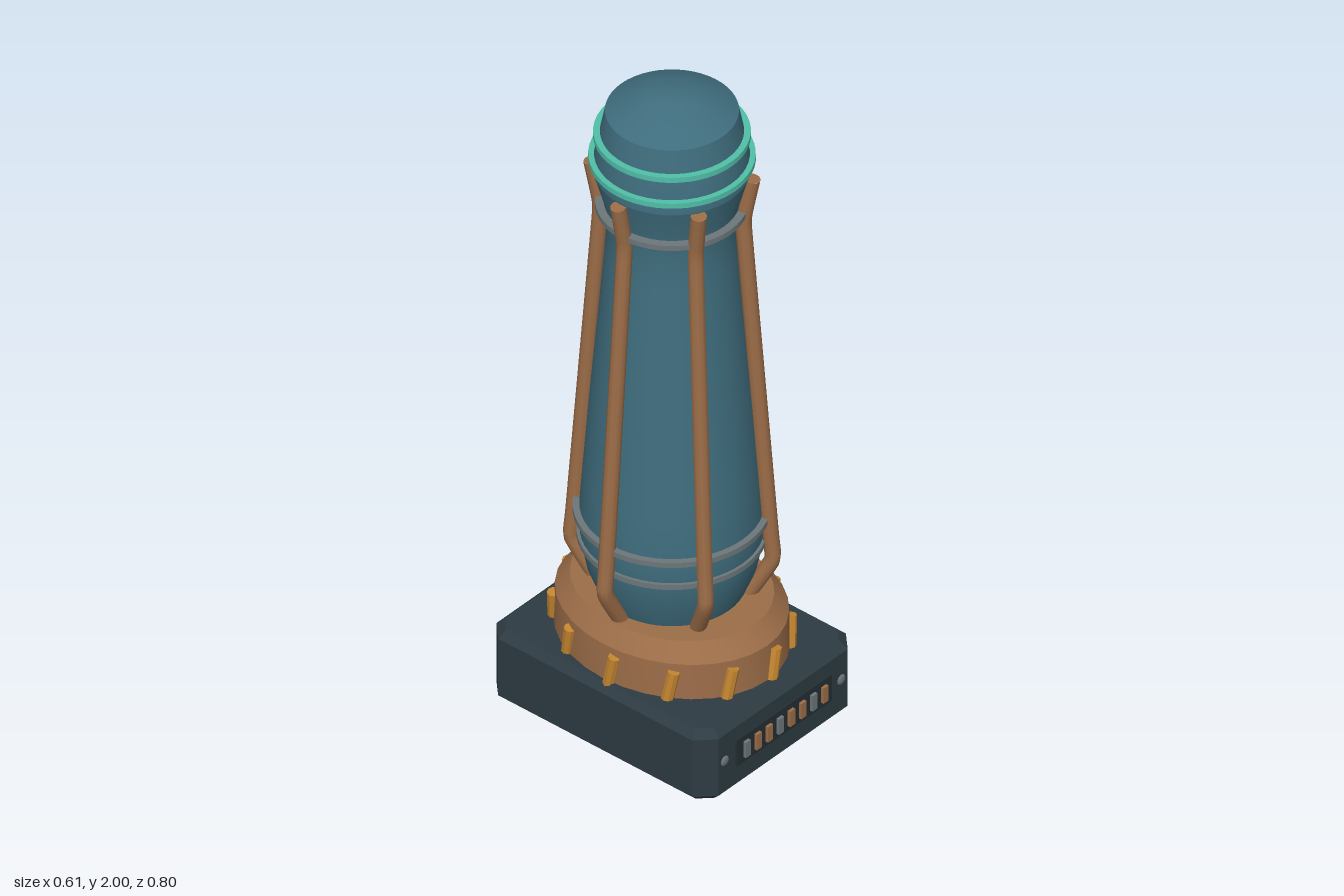
import * as THREE from 'three';
import { toCreasedNormals } from 'three/addons/utils/BufferGeometryUtils.js';

const mat = (name, color) => Object.assign(new THREE.MeshStandardMaterial({ color }), { name });

export function createModel() {
  const teal = mat('teal', 0x3f6d7d);
  const copper = mat('copper', 0x9c6d48);
  const slate = mat('slate', 0x2d3b42);
  const darkSlate = mat('darkSlate', 0x232e33);
  const steel = mat('steel', 0x6c7679);
  const mint = mat('mint', 0x50bfa8);
  const amber = mat('amber', 0xc4862f);

  const model = new THREE.Group();
  model.name = 'tower';

  const add = (name, geometry, material, x = 0, y = 0, z = 0, parent = model) => {
    const mesh = new THREE.Mesh(geometry, material);
    mesh.name = name;
    mesh.position.set(x, y, z);
    parent.add(mesh);
    return mesh;
  };
  const lathe = (points, sides) => toCreasedNormals(
    new THREE.LatheGeometry(points.map(([r, y]) => new THREE.Vector2(r, y)), sides), 0.5);
  // Flat band with a rectangular section
  const band = (name, inner, outer, y, h, material) => add(name, lathe([
    [inner, y - h / 2], [outer, y - h / 2], [outer, y + h / 2], [inner, y + h / 2],
  ], 48), material);

  // Plinth: octagonal block with bevelled rims
  const bevel = 0.022, hx = 0.307 - bevel, hz = 0.385 - bevel, cut = 0.035;
  const outline = new THREE.Shape([
    [hx, hz - cut], [hx - cut, hz], [cut - hx, hz], [-hx, hz - cut],
    [-hx, cut - hz], [cut - hx, -hz], [hx - cut, -hz], [hx, cut - hz],
  ].map(([x, y]) => new THREE.Vector2(x, y)));
  const block = new THREE.ExtrudeGeometry(outline, {
    depth: 0.23 - 2 * bevel, bevelEnabled: true, bevelThickness: bevel, bevelSize: bevel, bevelSegments: 1,
  });
  block.rotateX(-Math.PI / 2).translate(0, bevel, 0);
  add('plinth', block, slate);

  // Vent panels on the front and back of the plinth
  for (const side of [1, -1]) {
    const vent = new THREE.Group();
    vent.name = side > 0 ? 'frontVent' : 'backVent';
    model.add(vent);
    add('ventPanel', new THREE.BoxGeometry(0.38, 0.085, 0.012), darkSlate, 0, 0.125, side * 0.385, vent);
    for (let i = 0; i < 8; i++) {
      add('ventBar', new THREE.BoxGeometry(0.02, 0.05, 0.02), i % 3 ? copper : steel,
        -0.156 + i * 0.0445, 0.125, side * 0.39, vent);
    }
    for (const x of [-0.233, 0.233]) {
      add('screw', new THREE.SphereGeometry(0.016, 12, 8), steel, x, 0.123, side * 0.384, vent).scale.z = 0.4;
    }
  }

  // Oval collar
  add('collar', lathe([[0, 0.225], [0.278, 0.225], [0.275, 0.34], [0.24, 0.39], [0, 0.39]], 32), copper)
    .scale.z = 1.2;

  // Slanted pegs around the collar
  const peg = toCreasedNormals(new THREE.CylinderGeometry(0.017, 0.017, 0.1, 8), 0.5);
  for (let i = 0; i < 12; i++) {
    const a = THREE.MathUtils.degToRad(5 + i * 30);
    const mesh = add('peg', peg, amber, 0.277 * Math.sin(a), 0.268, 0.333 * Math.cos(a));
    const lean = new THREE.Vector3(0.2 * Math.cos(a), 1, -0.2 * Math.sin(a)).normalize();
    mesh.quaternion.setFromUnitVectors(new THREE.Vector3(0, 1, 0), lean);
  }

  // Tapering body
  add('body', lathe([
    [0, 0.385], [0.195, 0.385], [0.225, 0.46], [0.241, 0.54], [0.245, 0.62], [0.235, 0.76],
    [0.217, 1.0], [0.196, 1.25], [0.177, 1.48], [0.17, 1.59], [0.182, 1.66], [0.207, 1.75],
  ], 48), teal);

  // Domed head
  add('head', lathe([
    [0.207, 1.75], [0.206, 1.79], [0.19, 1.87], [0.176, 1.94], [0.064, 2], [0, 2],
  ], 48), teal);

  // Hoops and glowing bands
  band('lowerHoop', 0.225, 0.251, 0.558, 0.016, steel);
  band('middleHoop', 0.235, 0.261, 0.638, 0.016, steel);
  band('upperHoop', 0.17, 0.202, 1.637, 0.016, steel);
  band('lowerBand', 0.19, 0.22, 1.79, 0.016, mint);
  band('upperBand', 0.175, 0.207, 1.865, 0.016, mint);

  // Six bent rods around the body
  const path = new THREE.CatmullRomCurve3(
    [[0.2, 0.375], [0.268, 0.5], [0.262, 0.6], [0.197, 1.5], [0.191, 1.61], [0.215, 1.745]]
      .map(([r, y]) => new THREE.Vector3(r, y, 0)), false, 'catmullrom', 0.2);
  const rod = new THREE.TubeGeometry(path, 60, 0.022, 10);
  const cap = new THREE.CircleGeometry(0.022, 10);
  for (let i = 0; i < 6; i++) {
    const group = new THREE.Group();
    group.name = 'rod';
    group.rotation.y = i * Math.PI / 3;
    model.add(group);
    add('rodTube', rod, copper, 0, 0, 0, group);
    for (const t of [0, 1]) {
      const p = path.getPoint(t), d = path.getTangent(t).multiplyScalar(t ? 1 : -1);
      const end = add('rodEnd', cap, copper, p.x, p.y, p.z, group);
      end.quaternion.setFromUnitVectors(new THREE.Vector3(0, 0, 1), d);
    }
  }
  return model;
}
